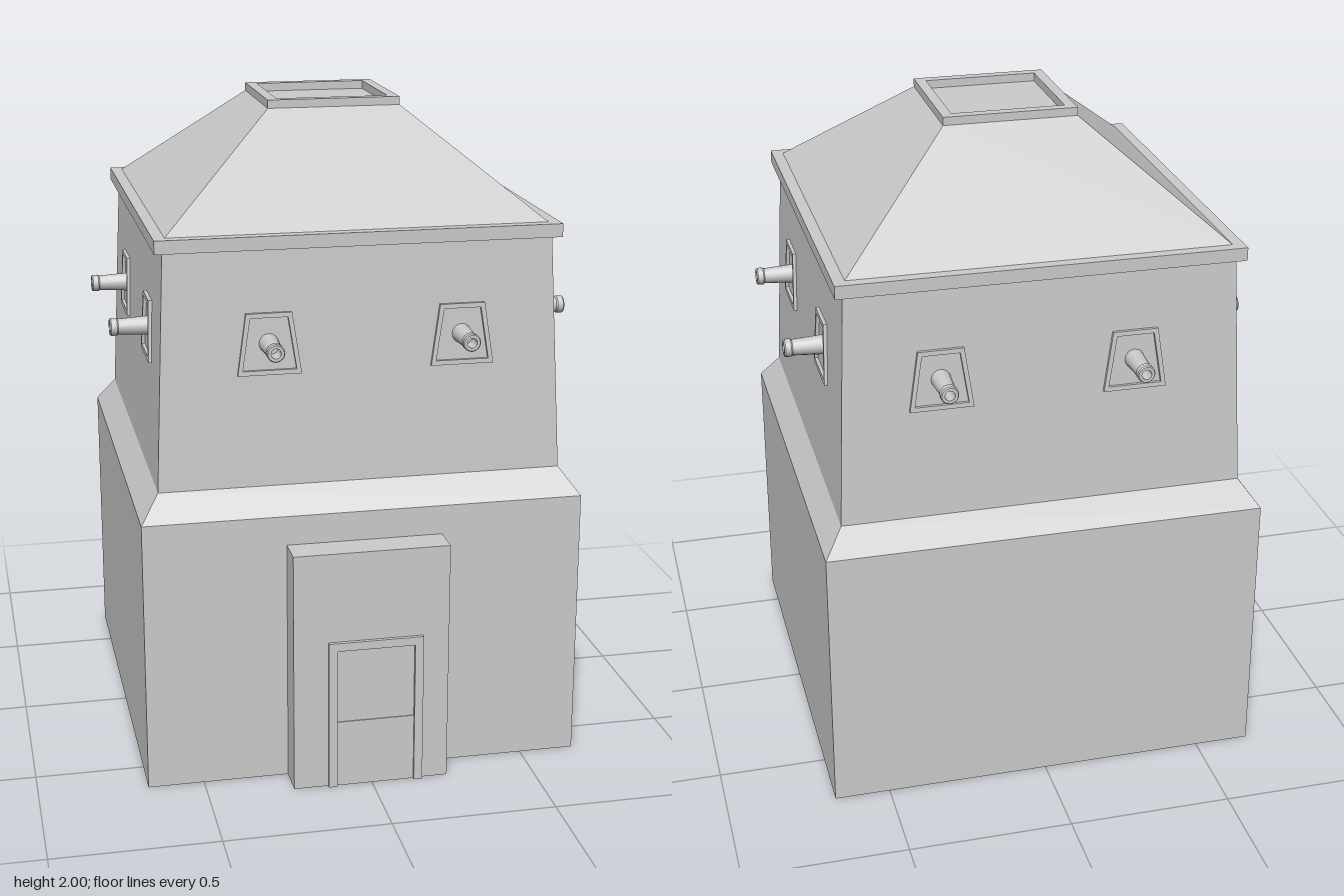
import * as THREE from 'three';

const mat = new THREE.MeshStandardMaterial({ color: 0xcccccc, flatShading: true, side: THREE.DoubleSide });
const smooth = new THREE.MeshStandardMaterial({ color: 0xcccccc, side: THREE.DoubleSide });
const CZ = -0.035; // centre of the square tower in z
const HALF = 0.67; // half width of the base
const BASE = 0.84; // height of the base walls

function add(parent, name, geometry, x = 0, y = 0, z = 0, material = mat) {
  const mesh = new THREE.Mesh(geometry, material);
  mesh.name = name;
  mesh.position.set(x, y, z);
  parent.add(mesh);
  return mesh;
}

// Square loft from [half width, height] pairs
function squareLoft(profile) {
  const points = profile.map(([r, y]) => new THREE.Vector2(r * Math.SQRT2, y));
  const geometry = new THREE.LatheGeometry(points, 4, Math.PI / 4).toNonIndexed();
  geometry.computeVertexNormals();
  return geometry;
}

const polygon = (pts) => new THREE.Shape(pts.map(([x, y]) => new THREE.Vector2(x, y)));

// Upside-down U standing on the ground: outer and inner edges
function arch(x0, x1, top, t) {
  return polygon([[x0, 0], [x0, top], [x1, top], [x1, 0], [x1 - t, 0], [x1 - t, top - t], [x0 + t, top - t], [x0 + t, 0]]);
}

function trapezoid(bottom, top, h) {
  return [[-bottom, -h], [bottom, -h], [top, h], [-top, h]];
}

// Window surround with a gun barrel, facing +z
function createGunPort() {
  const port = new THREE.Group();
  port.name = 'gunPort';
  const shape = polygon(trapezoid(0.095, 0.068, 0.092));
  shape.holes.push(polygon(trapezoid(0.08, 0.056, 0.078)));
  const frame = add(port, 'windowFrame', new THREE.ExtrudeGeometry(shape, { depth: 0.014, bevelEnabled: false }), 0, 0, -0.004);
  frame.rotation.x = -0.042;

  const profile = [[0.03, -0.01], [0.024, 0.092], [0.024, 0.092], [0.027, 0.096], [0.027, 0.096], [0.027, 0.113],
    [0.027, 0.113], [0.024, 0.117], [0.024, 0.117], [0.015, 0.117], [0.015, 0.117], [0.015, 0.06], [0.015, 0.06], [0, 0.06]]
    .map(([r, y]) => new THREE.Vector2(r, y));
  const barrel = add(port, 'gunBarrel', new THREE.LatheGeometry(profile, 16), 0, 0, 0, smooth);
  barrel.rotation.x = Math.PI / 2;
  return port;
}

export function createModel() {
  const model = new THREE.Group();
  model.name = 'tower';

  // Base walls, open underneath; the front one has an opening behind the porch
  const tower = new THREE.Group();
  tower.name = 'towerBody';
  tower.position.z = CZ;
  model.add(tower);
  const PX0 = -0.24, PX1 = 0.235, PTOP = 0.75;
  const front = polygon([[-HALF, 0], [PX0, 0], [PX0, PTOP], [PX1, PTOP], [PX1, 0], [HALF, 0], [HALF, BASE], [-HALF, BASE]]);
  add(tower, 'frontBaseWall', new THREE.ShapeGeometry(front), 0, 0, HALF);
  for (let i = 1; i < 4; i++) {
    const a = i * Math.PI / 2;
    const wall = add(tower, 'baseWall', new THREE.PlaneGeometry(2 * HALF, BASE),
      Math.sin(a) * HALF, BASE / 2, Math.cos(a) * HALF);
    wall.rotation.y = a;
  }

  // Sloping ledge and tapering upper walls
  add(tower, 'upperWalls', squareLoft([[HALF, BASE], [0.612, 0.92], [0.58, 1.63]]));
  // Eave slab, hipped roof and shallow rimmed top
  add(tower, 'roof', squareLoft([[0.57, 1.63], [0.605, 1.63], [0.605, 1.67], [0.57, 1.67], [0.204, 1.975],
    [0.204, 2], [0.172, 2], [0.172, 1.975], [0, 1.975]]));

  // Two gun ports on every side
  const WALL = 0.593;
  for (let i = 0; i < 4; i++) {
    const a = i * Math.PI / 2;
    for (const side of [-1, 1]) {
      const port = createGunPort();
      if (i % 2 === 0) port.position.set(0.015 + side * 0.29, 1.35, Math.cos(a) * WALL);
      else port.position.set(Math.sin(a) * WALL, 1.35, -0.015 - CZ + side * 0.29);
      port.rotation.y = a;
      tower.add(port);
    }
  }

  // Porch shell
  const porch = new THREE.Group();
  porch.name = 'porch';
  model.add(porch);
  const Z0 = CZ + HALF, Z1 = 0.735;
  const depth = Z1 - Z0, width = PX1 - PX0, mid = (PX0 + PX1) / 2;
  add(porch, 'porchFront', new THREE.PlaneGeometry(width, PTOP), mid, PTOP / 2, Z1);
  for (const [x, turn] of [[PX0, -1], [PX1, 1]]) {
    const cheek = add(porch, 'porchSide', new THREE.PlaneGeometry(depth, PTOP), x, PTOP / 2, (Z0 + Z1) / 2);
    cheek.rotation.y = turn * Math.PI / 2;
  }
  const lid = add(porch, 'porchTop', new THREE.PlaneGeometry(width, depth), mid, PTOP, (Z0 + Z1) / 2);
  lid.rotation.x = -Math.PI / 2;

  // Door frame and the raised lower half of the door
  add(porch, 'doorFrame', new THREE.ExtrudeGeometry(arch(-0.135, 0.155, 0.47, 0.026), { depth: 0.012, bevelEnabled: false }), 0, 0, Z1);
  add(porch, 'doorLowerPanel', new THREE.BoxGeometry(0.238, 0.21, 0.004), 0.01, 0.105, Z1 + 0.001);

  return model;
}
